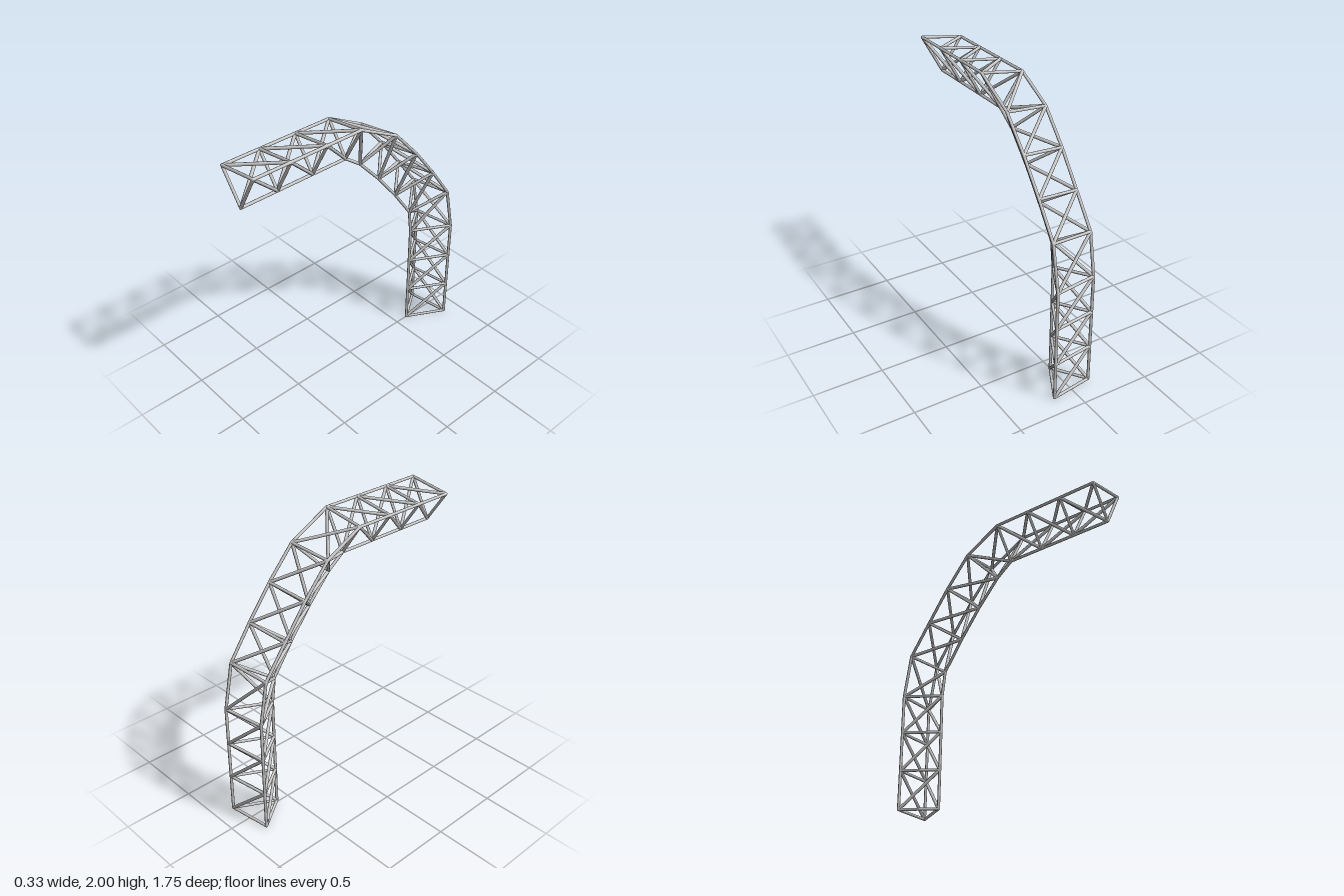
import * as THREE from 'three';

const material = new THREE.MeshStandardMaterial({ color: 0xcccccc });

// Stations from the free end to the foot: [z, y] of the three chords
const leftChord = [[0.866, 1.989], [0.592, 1.989], [0.315, 1.989], [0.041, 1.989],
  [-0.263, 1.833], [-0.459, 1.619], [-0.635, 1.395], [-0.799, 1.165],
  [-0.865, 0.84], [-0.865, 0.565], [-0.865, 0.287], [-0.865, 0.011]];
const rightChord = [[0.866, 1.943], [0.592, 1.943], [0.315, 1.943], [0.041, 1.943],
  [-0.237, 1.8], [-0.428, 1.587], [-0.6, 1.362], [-0.765, 1.142],
  [-0.82, 0.84], [-0.82, 0.565], [-0.82, 0.287], [-0.82, 0.011]];
const innerChord = [[0.866, 1.72], [0.592, 1.72], [0.315, 1.72], [0.041, 1.72],
  [-0.085, 1.627], [-0.257, 1.44], [-0.42, 1.235], [-0.572, 1.02],
  [-0.595, 0.84], [-0.595, 0.565], [-0.595, 0.287], [-0.595, 0.011]];

const toPoints = (chord, x) => chord.map(([z, y]) => new THREE.Vector3(x, y, z));

// Round bar between two points
function rod(a, b, radius, name) {
  const dir = b.clone().sub(a);
  const mesh = new THREE.Mesh(new THREE.CylinderGeometry(radius, radius, dir.length(), 8), material);
  mesh.position.copy(a).lerp(b, 0.5);
  mesh.quaternion.setFromUnitVectors(new THREE.Vector3(0, 1, 0), dir.normalize());
  mesh.name = name;
  return mesh;
}

export function createModel() {
  const model = new THREE.Group();
  model.name = 'curvedTriangularTruss';
  const chords = new THREE.Group();
  const rungs = new THREE.Group();
  const braces = new THREE.Group();
  chords.name = 'chords';
  rungs.name = 'rungs';
  braces.name = 'diagonalBraces';

  const left = toPoints(leftChord, 0.152);
  const right = toPoints(rightChord, -0.152);
  const inner = toPoints(innerChord, 0.005);

  // Long chords with rounded joints
  const jointGeometry = new THREE.SphereGeometry(0.0105, 8, 6);
  for (const [name, points] of [['left', left], ['right', right], ['inner', inner]]) {
    points.forEach((p, i) => {
      const joint = new THREE.Mesh(jointGeometry, material);
      joint.position.copy(p);
      joint.name = name + 'Joint';
      chords.add(joint);
      if (i > 0) chords.add(rod(points[i - 1], p, 0.0105, name + 'Chord'));
    });
  }

  // Each face: a rung at every station and one diagonal per bay
  for (const [name, from, to] of [['outer', right, left], ['rightSide', inner, right], ['leftSide', left, inner]]) {
    from.forEach((p, i) => {
      rungs.add(rod(p, to[i], 0.0105, name + 'Rung'));
      if (i + 1 < to.length) braces.add(rod(p, to[i + 1], 0.0115, name + 'Brace'));
    });
  }

  model.add(chords, rungs, braces);
  return model;
}
